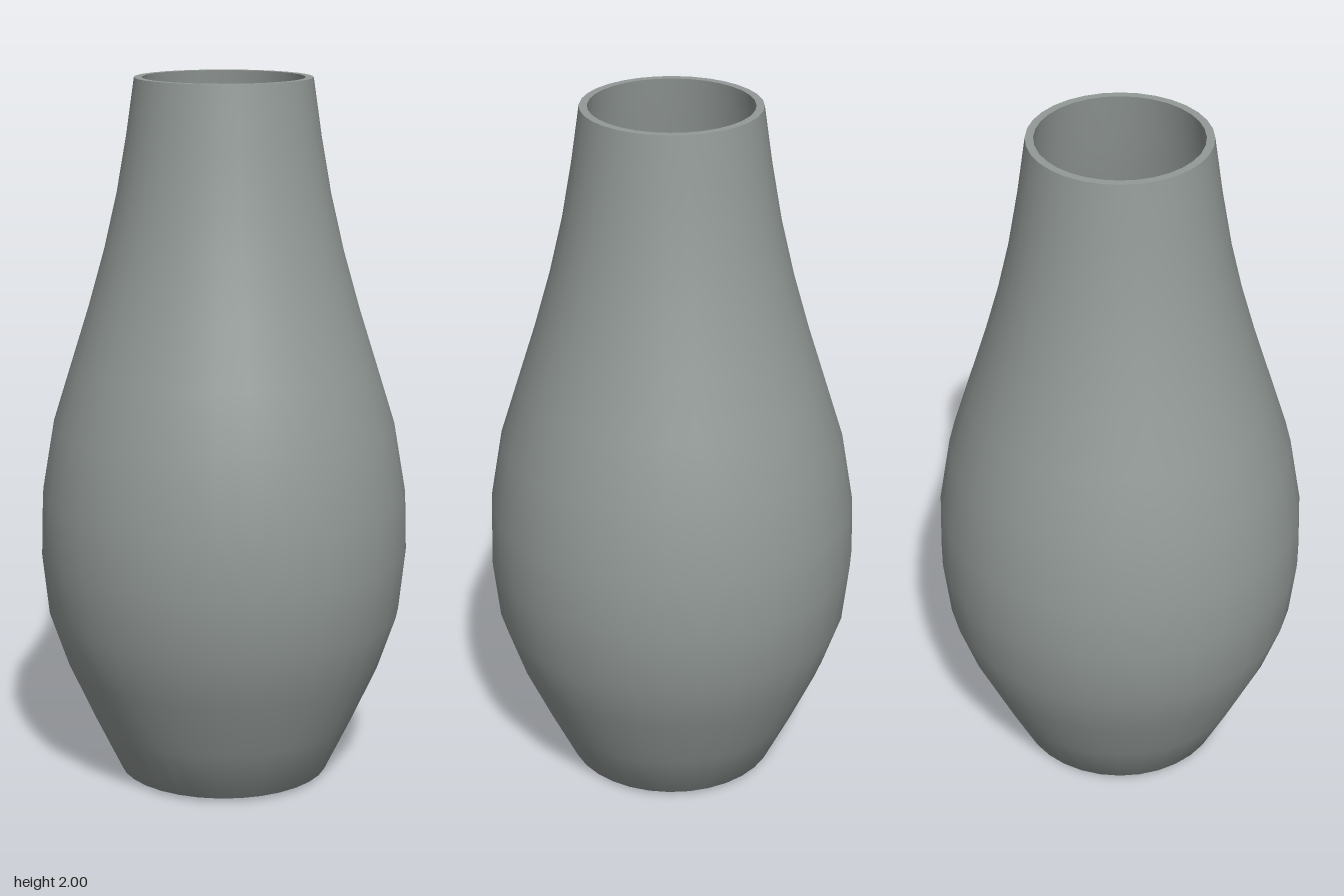
import * as THREE from 'three';

const SEGMENTS = 32;
const WALL = 0.022;

// Outer silhouette as [radius, height], from foot to lip
const PROFILE = [
  [0.30, 0.01], [0.375, 0.165], [0.45, 0.33], [0.503, 0.485], [0.522, 0.66], [0.517, 0.83],
  [0.483, 1.03], [0.43, 1.2], [0.38, 1.36], [0.335, 1.52], [0.298, 1.68], [0.27, 1.84], [0.247, 2],
];

export function createModel() {
  const vase = new THREE.Group();
  vase.name = 'vase';

  const ceramic = new THREE.MeshStandardMaterial({ color: 0x929996 });
  ceramic.name = 'grey ceramic';

  const addLathe = (name, points) => {
    const geometry = new THREE.LatheGeometry(points.map(([r, y]) => new THREE.Vector2(r, y)), SEGMENTS);
    const mesh = new THREE.Mesh(geometry, ceramic);
    mesh.name = name;
    vase.add(mesh);
  };

  // Outside wall, softly rounded into the flat base
  addLathe('outerBody', [[0, 0], [0.25, 0], ...PROFILE]);

  // Flat lip with sharp edges
  const [lipRadius, lipHeight] = PROFILE[PROFILE.length - 1];
  addLathe('rim', [[lipRadius, lipHeight], [lipRadius - WALL, lipHeight]]);

  // Inside wall, running down from the lip
  const inner = PROFILE.map(([r, y]) => [r - WALL, y]).reverse();
  inner[inner.length - 1][1] = 0.03;
  addLathe('innerWall', inner);

  // Inside floor
  addLathe('innerFloor', [[PROFILE[0][0] - WALL, 0.03], [0, 0.03]]);

  return vase;
}
